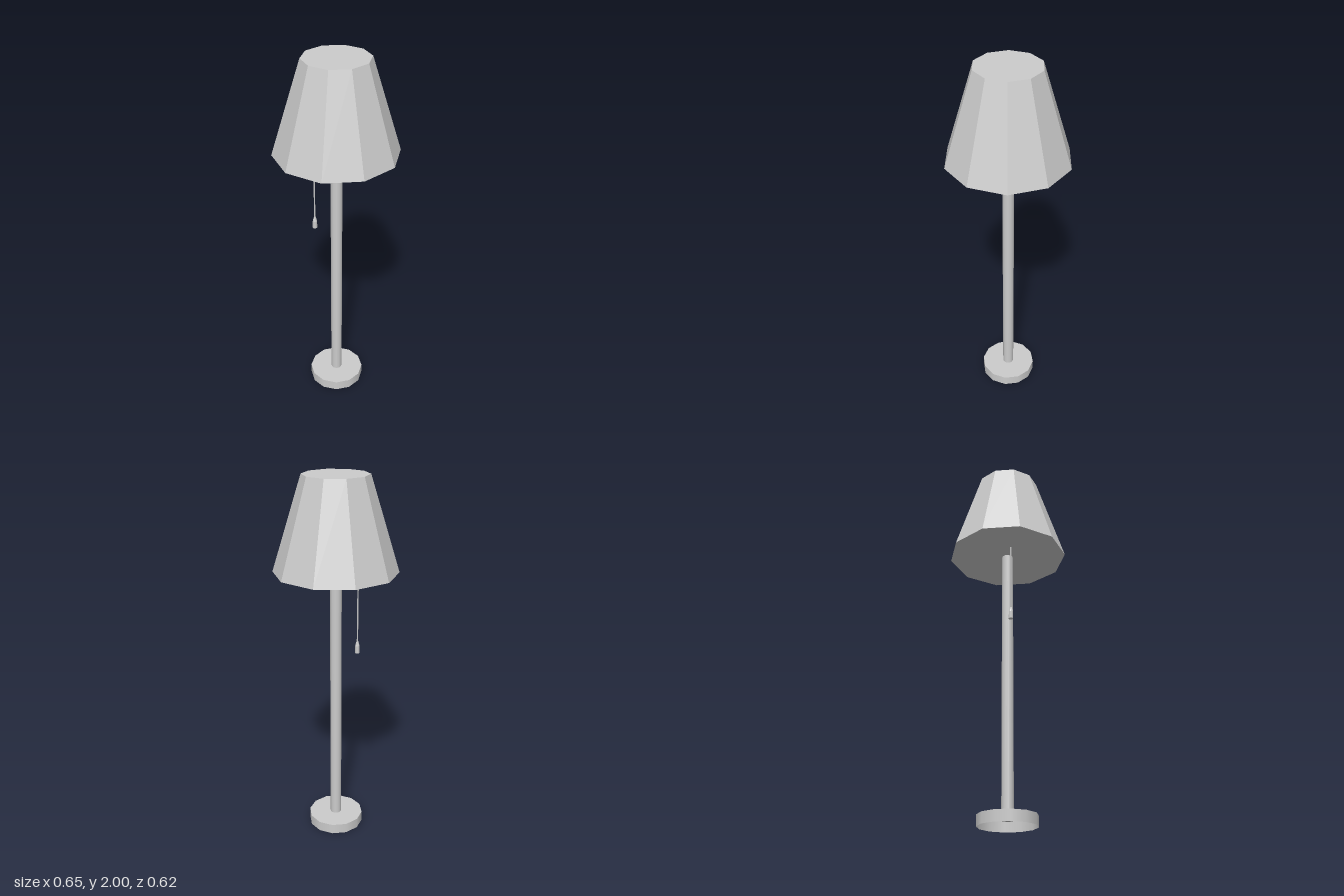
import * as THREE from 'three';

const smooth = new THREE.MeshStandardMaterial({ color: 0xcccccc, side: THREE.DoubleSide });
const faceted = new THREE.MeshStandardMaterial({ color: 0xcccccc, side: THREE.DoubleSide, flatShading: true });

// Upright tapered cylinder between two heights
function column(name, rTop, rBottom, y0, y1, sides, material, open = false) {
  const geo = new THREE.CylinderGeometry(rTop, rBottom, y1 - y0, sides, 1, open);
  geo.rotateY(Math.PI / 2); // first corner on the x axis
  geo.translate(0, (y0 + y1) / 2, 0);
  const mesh = new THREE.Mesh(geo, material);
  mesh.name = name;
  return mesh;
}

export function createModel() {
  const lamp = new THREE.Group();
  lamp.name = 'floorLamp';

  // Hollow base: wall and top plate, open underneath
  const base = new THREE.Group();
  base.name = 'base';
  base.add(column('baseWall', 0.153, 0.153, 0, 0.057, 12, smooth, true));
  const plateGeo = new THREE.CircleGeometry(0.153, 12);
  plateGeo.rotateX(-Math.PI / 2);
  plateGeo.translate(0, 0.057, 0);
  const plate = new THREE.Mesh(plateGeo, smooth);
  plate.name = 'baseTop';
  base.add(plate);

  // Pole runs a little way through the base plate
  const pole = column('pole', 0.031, 0.031, 0.03, 1.53, 12, smooth);

  // Ten-sided closed shade
  const shade = column('shade', 0.172, 0.326, 1.508, 2, 10, faceted);

  // Pull cord with a small tapered handle
  const pull = new THREE.Group();
  pull.name = 'pullCord';
  pull.add(
    column('cord', 0.004, 0.004, 1.12, 1.515, 6, smooth),
    column('handleTip', 0.005, 0.012, 1.105, 1.13, 8, faceted),
    column('handle', 0.012, 0.013, 1.064, 1.105, 8, smooth),
  );
  pull.position.set(-0.096, 0, 0.063);

  lamp.add(base, pole, shade, pull);
  return lamp;
}
